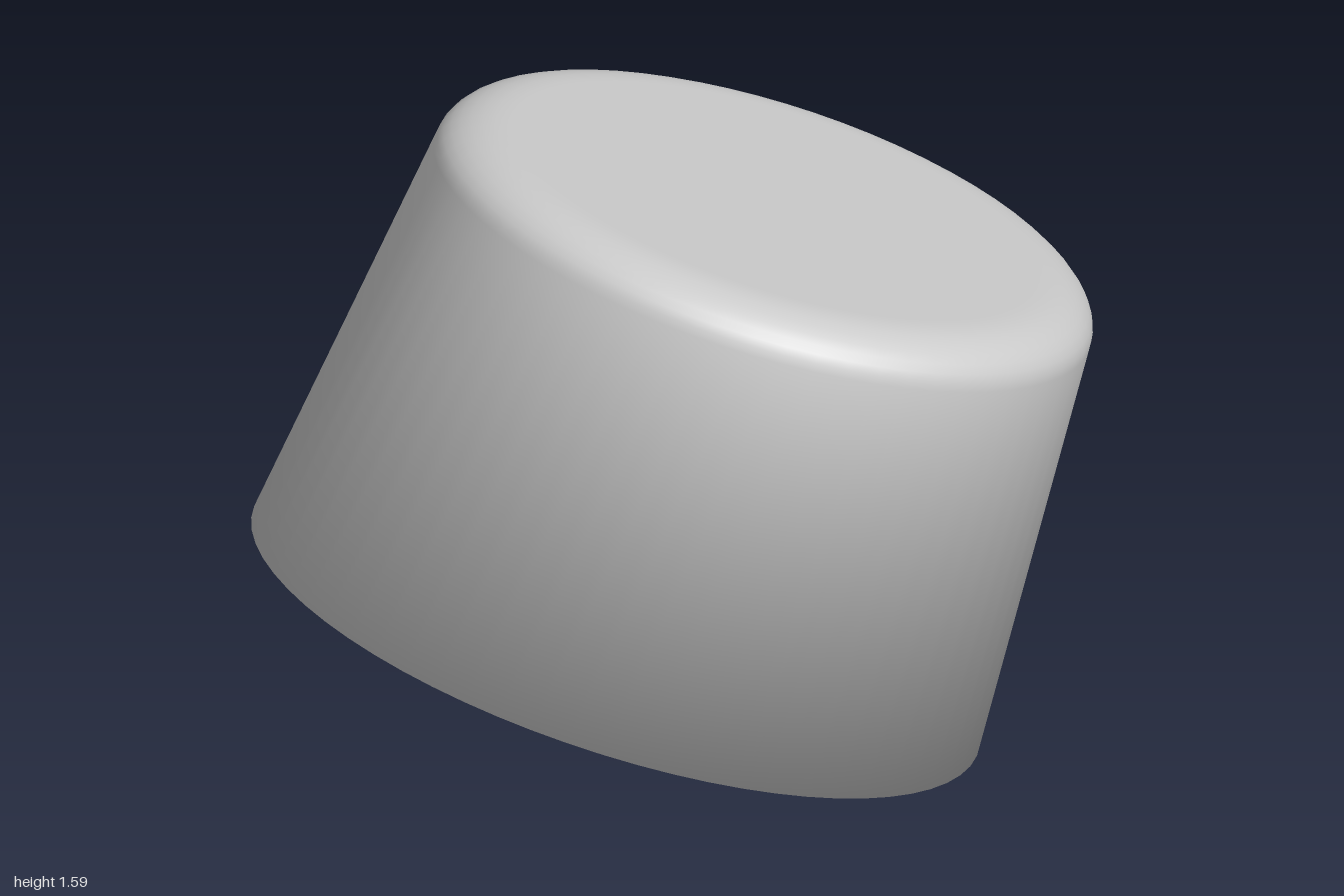
import * as THREE from 'three';

const SEGMENTS = 64;
const UP = new THREE.Vector3(0, 0.93, -0.365); // axis of the tilted crown

// A ring has a centre (y, z), a half width rx and the offset (dy, dz) to its front point.
// Rings from the bottom edge up the wall, over the rounded shoulder and across the flat top.
function shellRings(edge, shoulder, lift, round) {
  const raised = (shrink, up) => ({
    y: shoulder.y + UP.y * up, z: shoulder.z + UP.z * up,
    rx: shoulder.rx * shrink, dy: shoulder.dy * shrink, dz: shoulder.dz * shrink,
  });
  const rings = [edge, shoulder];
  for (let i = 1; i <= 8; i++) {
    const u = (i / 8) * Math.PI / 2;
    rings.push(raised(1 - round * (1 - Math.cos(u)), lift * Math.sin(u)));
  }
  for (const s of [0.97, 0.6, 0.3, 0.001]) rings.push(raised((1 - round) * s, lift));
  return rings;
}

// Joins the rings into one smooth skin.
function skin(rings) {
  const points = [], index = [];
  rings.forEach((r, i) => {
    for (let j = 0; j < SEGMENTS; j++) {
      const t = (j / SEGMENTS) * Math.PI * 2;
      points.push(r.rx * Math.sin(t), r.y + r.dy * Math.cos(t), r.z + r.dz * Math.cos(t));
      if (i === rings.length - 1) continue;
      const a = i * SEGMENTS + j, b = i * SEGMENTS + (j + 1) % SEGMENTS;
      index.push(a, b, b + SEGMENTS, a, b + SEGMENTS, a + SEGMENTS);
    }
  });
  const geometry = new THREE.BufferGeometry();
  geometry.setAttribute('position', new THREE.Float32BufferAttribute(points, 3));
  geometry.setIndex(index);
  geometry.computeVertexNormals();
  return geometry;
}

// Turns the normals of the two rim rings downward, so the walls shade softly into the lip.
function softenRim(geometry, firstRing) {
  const normals = geometry.attributes.normal;
  const n = new THREE.Vector3();
  for (let k = firstRing * SEGMENTS; k < (firstRing + 2) * SEGMENTS; k++) {
    n.fromBufferAttribute(normals, k).sub(UP).normalize();
    normals.setXYZ(k, n.x, n.y, n.z);
  }
}

export function createModel() {
  const group = new THREE.Group();
  group.name = 'tiltedCap';

  // Outer wall and top
  const outer = shellRings(
    { y: 0.325, z: 0.17, rx: 0.9, dy: 0.325, dz: 0.83 },
    { y: 1.25, z: -0.25, rx: 0.81, dy: 0.285, dz: 0.75 }, 0.105, 0.185);
  // Inner wall and ceiling, just inside
  const inner = shellRings(
    { y: 0.325, z: 0.17, rx: 0.87, dy: 0.315, dz: 0.8 },
    { y: 1.235, z: -0.245, rx: 0.785, dy: 0.275, dz: 0.725 }, 0.09, 0.185);

  // One closed skin: down the inside, round the rim and up the outside
  const geometry = skin([...inner.reverse(), ...outer]);
  softenRim(geometry, inner.length - 1);
  const crown = new THREE.Mesh(geometry, new THREE.MeshStandardMaterial({ color: 0xcccccc }));
  crown.name = 'crown';
  group.add(crown);
  return group;
}
